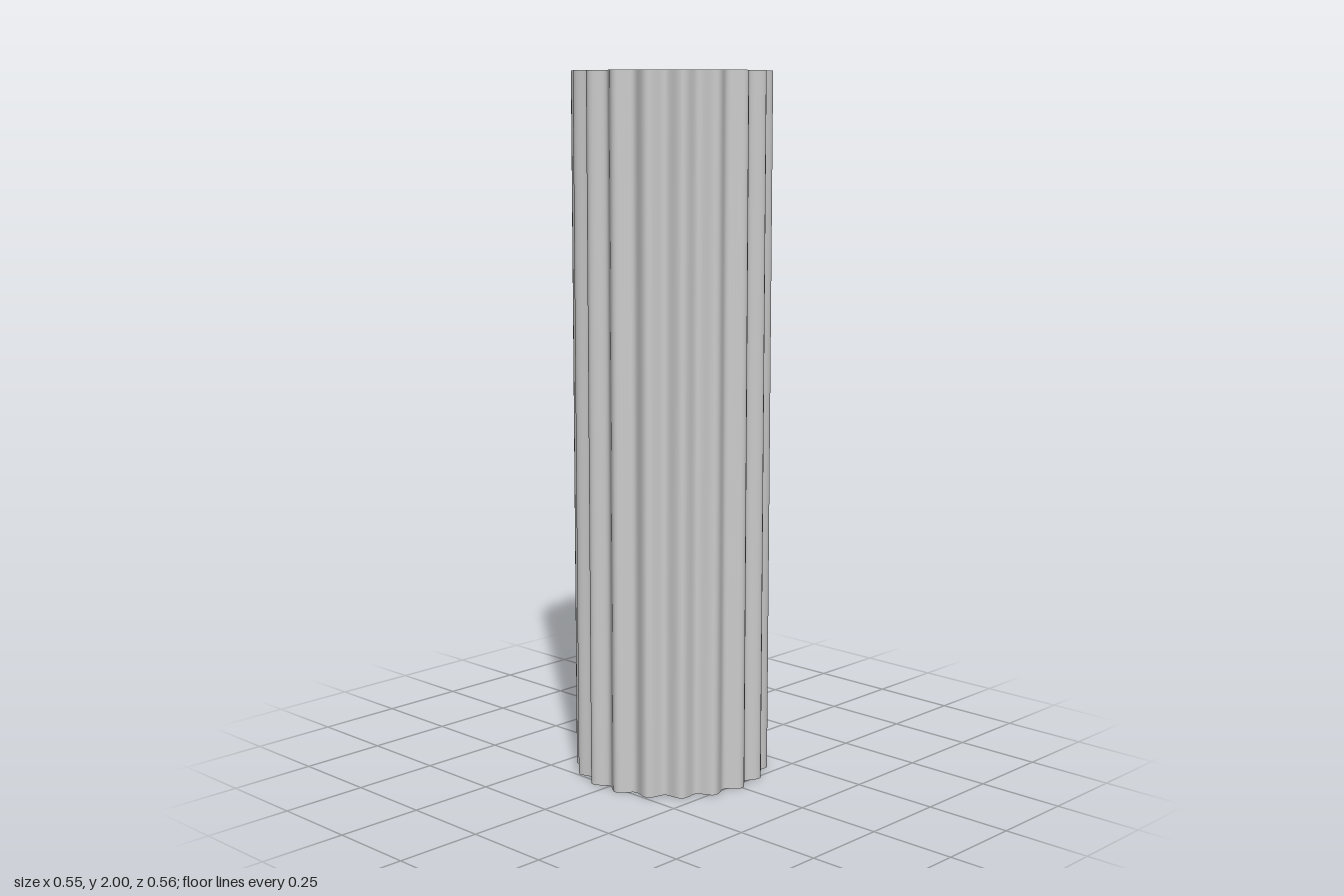
import * as THREE from 'three';
import { mergeVertices } from 'three/addons/utils/BufferGeometryUtils.js';

const HEIGHT = 2;
const FLUTES = 18;
const CREST = 0.279; // outer radius at a ridge
const DEPTH = 0.014; // half the ridge-to-groove depth

// Open tube whose radius ripples around the axis, with a ridge facing +z
function corrugatedTube() {
  const tube = new THREE.CylinderGeometry(1, 1, HEIGHT, FLUTES * 12, 1, true);
  const pos = tube.attributes.position;
  for (let i = 0; i < pos.count; i++) {
    const angle = Math.atan2(pos.getX(i), pos.getZ(i));
    const r = CREST - DEPTH + DEPTH * Math.cos(FLUTES * angle);
    pos.setX(i, r * Math.sin(angle));
    pos.setZ(i, r * Math.cos(angle));
  }
  // Weld the seam so the shading runs smoothly all the way round
  tube.deleteAttribute('uv');
  tube.deleteAttribute('normal');
  const welded = mergeVertices(tube, 1e-5);
  welded.computeVertexNormals();
  return welded;
}

export function createModel() {
  const model = new THREE.Group();
  model.name = 'flutedColumn';

  // Thin shaft, open at both ends
  const shaft = new THREE.Mesh(
    corrugatedTube(),
    new THREE.MeshStandardMaterial({ color: 0xcccccc, side: THREE.DoubleSide })
  );
  shaft.name = 'corrugatedShaft';
  shaft.position.y = HEIGHT / 2;
  model.add(shaft);

  return model;
}
